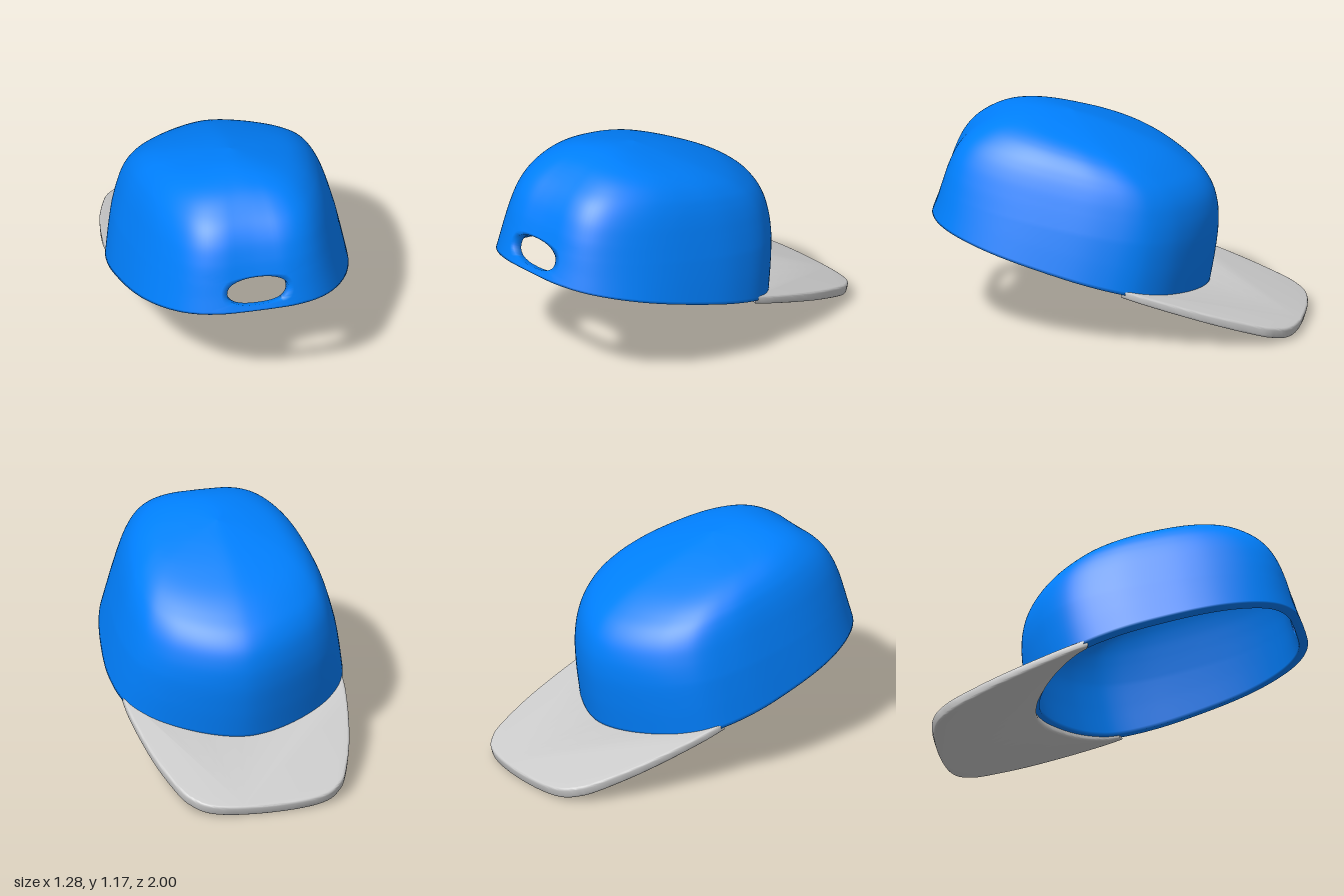
import * as THREE from 'three';
import { toCreasedNormals } from 'three/addons/utils/BufferGeometryUtils.js';

const COLS = 144, ROWS = 80, WALL = 0.05;
const PATCH = 10, HOLE = 6;             // cells from the opening's centre
const SLOT = { row: 10, hx: 5.7, hy: 7 };

// Half plan outline of the crown: [x share of half width, 0 = brim end .. 1 = opening end]
const HALF = [[0, 1], [0.15, 0.998], [0.3, 0.99], [0.47, 0.963], [0.62, 0.918], [0.75, 0.852], [0.86, 0.765],
  [0.93, 0.67], [0.98, 0.54], [1, 0.43], [0.99, 0.35], [0.962, 0.28], [0.915, 0.225],
  [0.84, 0.178], [0.73, 0.13], [0.6, 0.09], [0.46, 0.056], [0.31, 0.028], [0.155, 0.008], [0, 0]];

// Tilted rings from rim to apex: [z, y at opening end, z, y at brim end, half width]
const RINGS = [
  [1.0, 0.6, -0.48, 0.21, 0.638], [0.968, 0.685, -0.51, 0.38, 0.615], [0.94, 0.765, -0.527, 0.53, 0.592],
  [0.905, 0.865, -0.523, 0.64, 0.565], [0.86, 0.96, -0.498, 0.733, 0.538], [0.805, 1.033, -0.448, 0.81, 0.51],
  [0.735, 1.09, -0.37, 0.878, 0.477], [0.65, 1.137, -0.26, 0.95, 0.425], [0.55, 1.164, -0.1, 1.025, 0.345],
  [0.43, 1.17, 0.07, 1.09, 0.2], [0.26, 1.148, 0.26, 1.148, 0.001]];

function crownSurface() {
  const mirrored = HALF.slice(1, -1).reverse().map(([u, v]) => [-u, v]);
  const outline = new THREE.CatmullRomCurve3(
    [...HALF, ...mirrored].map(([u, v]) => new THREE.Vector3(u * 0.63, 0, v * 1.48)), true);
  outline.arcLengthDivisions = 1200;
  const opening = new THREE.CatmullRomCurve3(RINGS.map(r => new THREE.Vector3(r[4], r[1], r[0])));
  const brimEnd = new THREE.CatmullRomCurve3(RINGS.map(r => new THREE.Vector3(0, r[3], r[2])));
  return (col, row) => {
    const t = row / ROWS;
    const o = outline.getPointAt((((col / COLS) % 1) + 1) % 1);
    const b = opening.getPoint(t), f = brimEnd.getPoint(t);
    const u = o.x / 0.63, v = o.z / 1.48, x = u * b.x;
    // Corners beside the opening are squarer at mid height
    const back = Math.max(0, (v - 0.43) / 0.57);
    const w = v + 0.045 * (0.3 + 0.7 * Math.sin(Math.PI * t)) * 4 * u * u * (1 - u * u) * back;
    // The top falls away from a soft ridge along the middle
    const droop = 0.13 * t * t * (Math.hypot(x, 0.05) - 0.05);
    return [x, f.y + (b.y - f.y) * w - droop, f.z + (b.z - f.z) * w];
  };
}

// Bend the grid lines near the opening so that they run around a rounded slot
function aroundSlot(col, row) {
  const p = col, q = row - SLOT.row;
  const r = Math.max(Math.abs(p), Math.abs(q));
  if (r > PATCH || r < HOLE) return [col, row];
  const dx = p / r, dy = q / r, n = 2.5;
  const s = Math.pow(Math.abs(dx) ** n + Math.abs(dy) ** n, -1 / n);
  const k = (r - HOLE) / (PATCH - HOLE);
  const mix = (a, b) => a + (b - a) * k;
  return [mix(dx * s * SLOT.hx, dx * PATCH), SLOT.row + mix(dy * s * SLOT.hy, dy * PATCH)];
}

function crownGeometry() {
  const surface = crownSurface();
  const id = (i, j) => j * COLS + (i + COLS) % COLS;
  const signed = i => (i > COLS / 2 ? i - COLS : i);
  const kept = (i, j) => {
    if (j < 0) return false;
    const c = signed((i + COLS) % COLS) + 0.5;
    return Math.max(Math.abs(c), Math.abs(j + 0.5 - SLOT.row)) > HOLE;
  };

  // Outer skin
  const pos = [], index = [];
  for (let j = 0; j <= ROWS; j++)
    for (let i = 0; i < COLS; i++) pos.push(...surface(...aroundSlot(signed(i), j)));
  const quad = (a, b, c, d) => index.push(a, b, c, a, c, d);
  const eachCell = fn => {
    for (let j = 0; j < ROWS; j++)
      for (let i = 0; i < COLS; i++) if (kept(i, j)) fn(i, j);
  };
  eachCell((i, j) => quad(id(i, j), id(i + 1, j), id(i + 1, j + 1), id(i, j + 1)));
  const geo = new THREE.BufferGeometry();
  geo.setAttribute('position', new THREE.Float32BufferAttribute(pos, 3));
  geo.setIndex(index);
  geo.computeVertexNormals();

  // Inner skin, set in along the normals
  const normals = geo.attributes.normal.array, inner = (ROWS + 1) * COLS;
  const all = pos.concat(pos.map((p, k) => p - normals[k] * WALL));
  eachCell((i, j) => quad(inner + id(i, j), inner + id(i, j + 1), inner + id(i + 1, j + 1), inner + id(i + 1, j)));

  // Walls along the rim and around the slot
  const wall = (p, q) => quad(q, p, inner + p, inner + q);
  eachCell((i, j) => {
    const a = id(i, j), b = id(i + 1, j), c = id(i + 1, j + 1), d = id(i, j + 1);
    if (!kept(i, j - 1)) wall(a, b);
    if (!kept(i + 1, j)) wall(b, c);
    if (j < ROWS - 1 && !kept(i, j + 1)) wall(c, d);
    if (!kept(i - 1, j)) wall(d, a);
  });
  const shell = new THREE.BufferGeometry();
  shell.setAttribute('position', new THREE.Float32BufferAttribute(all, 3));
  shell.setIndex(index);
  shell.computeVertexNormals();
  return shell;
}

// Bevelled plate, tilted down away from the crown and thicker towards its tip
function brimGeometry() {
  const mirror = half => [...half, ...half.slice(0, -1).reverse().map(([x, z]) => [-x, z])];
  const outer = mirror([[0.603, 0.075], [0.597, 0.2], [0.567, 0.4], [0.523, 0.6], [0.455, 0.8],
    [0.405, 0.88], [0.33, 0.94], [0.2, 0.972], [0, 0.983]]);
  const inside = mirror([[-0.57, 0.085], [-0.55, 0.135], [-0.505, 0.195], [-0.44, 0.258], [-0.365, 0.313],
    [-0.28, 0.362], [-0.15, 0.42], [0, 0.445]]);
  const smooth = (pts, n) => new THREE.SplineCurve(pts.map(p => new THREE.Vector2(...p))).getPoints(n);
  const shape = new THREE.Shape([...smooth(outer, 72), ...smooth(inside, 56)]);
  const geo = new THREE.ExtrudeGeometry(shape, {
    depth: 0.026, bevelThickness: 0.012, bevelSize: 0.012, bevelOffset: -0.012, bevelSegments: 3 });
  geo.rotateX(-Math.PI / 2);
  geo.translate(0, 0.012, 0);
  const p = geo.attributes.position;
  for (let i = 0; i < p.count; i++) {
    const z = p.getZ(i), h = p.getY(i) * (0.8 - 0.4 * z);
    p.setY(i, h + (z + 0.983) * 0.325);
    p.setZ(i, z - h * 0.3);
  }
  return toCreasedNormals(geo, 0.7);
}

export function createModel() {
  const cap = new THREE.Group();
  cap.name = 'cap';
  const add = (name, geometry, color) => {
    const mesh = new THREE.Mesh(geometry, new THREE.MeshStandardMaterial({ color }));
    mesh.name = name;
    cap.add(mesh);
  };
  add('crown', crownGeometry(), 0x0080ff);
  add('brim', brimGeometry(), 0xcccccc);
  return cap;
}
